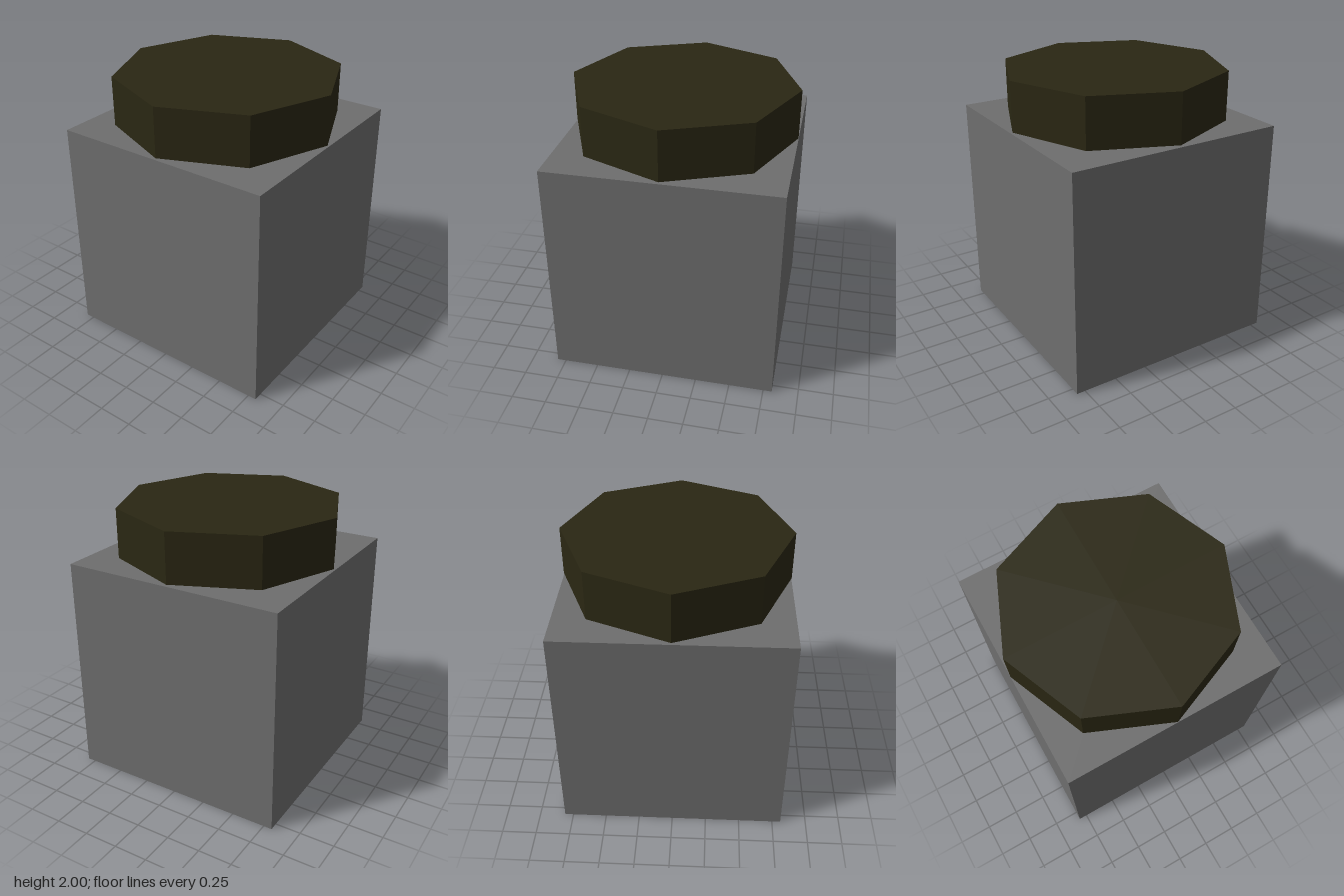
import * as THREE from 'three';

const SIZE = 1.625;      // edge of the cube body
const CAP_BOTTOM = 1.64; // underside of the cap
const TOP = 2;

export function createModel() {
  const model = new THREE.Group();
  model.name = 'cappedBlock';

  const bodyMaterial = new THREE.MeshStandardMaterial({ color: 0x6e6e6e, flatShading: true });
  const capMaterial = new THREE.MeshStandardMaterial({ color: 0x2a2713, flatShading: true });

  const addPart = (name, geometry, material, bottom, height) => {
    const mesh = new THREE.Mesh(geometry, material);
    mesh.name = name;
    mesh.position.y = bottom + height / 2;
    model.add(mesh);
  };

  // Cube body
  addPart('body', new THREE.BoxGeometry(SIZE, SIZE, SIZE), bodyMaterial, 0, SIZE);

  // Thin neck that holds the cap just clear of the body
  const neckHeight = CAP_BOTTOM - SIZE;
  addPart('neck', new THREE.CylinderGeometry(0.455, 0.455, neckHeight, 8), bodyMaterial, SIZE, neckHeight);

  // Eight-sided cap with corners on the x and z axes
  const capHeight = TOP - CAP_BOTTOM;
  addPart('cap', new THREE.CylinderGeometry(SIZE / 2, SIZE / 2, capHeight, 8), capMaterial, CAP_BOTTOM, capHeight);

  return model;
}
